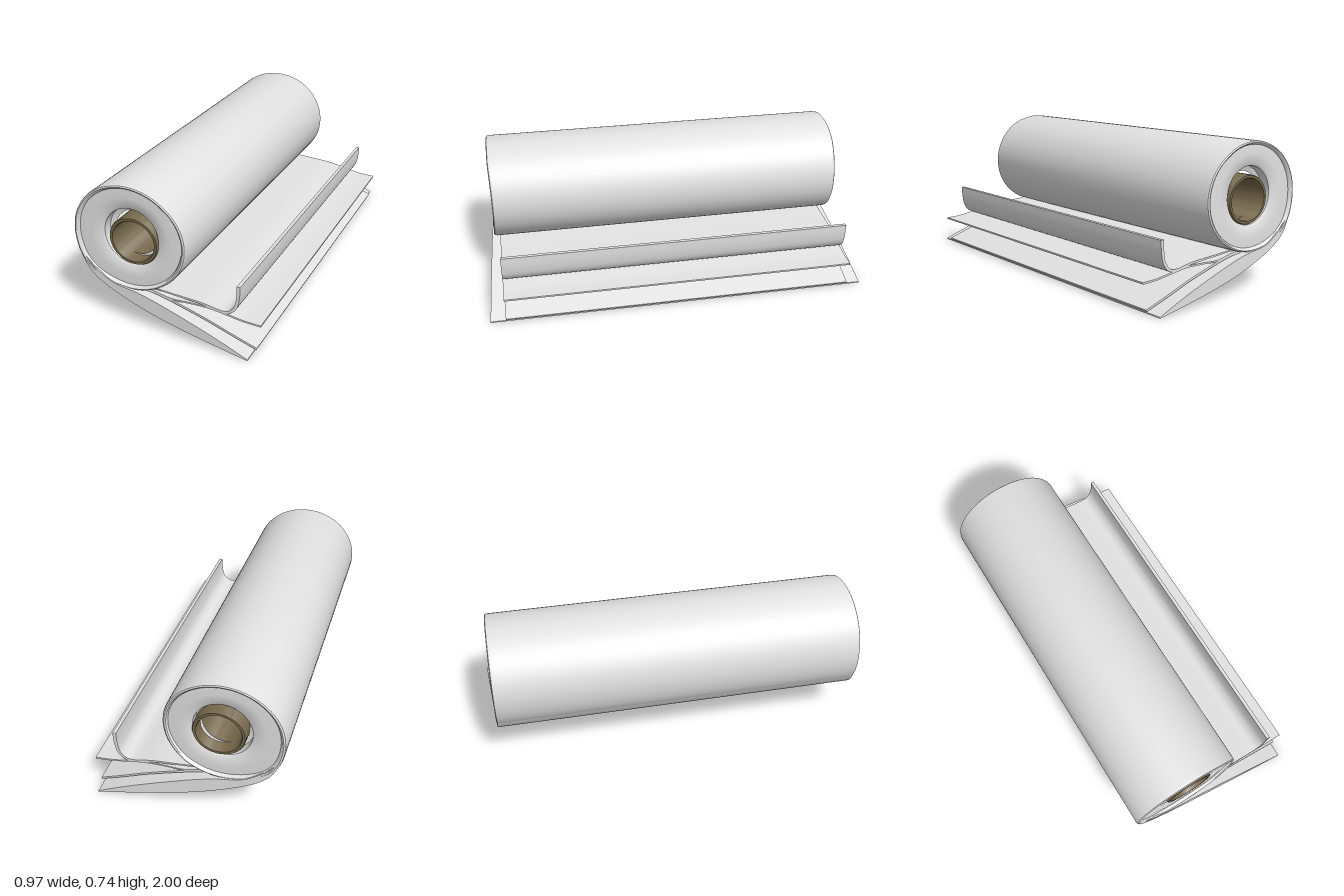
import * as THREE from 'three';
import { toCreasedNormals } from 'three/addons/utils/BufferGeometryUtils.js';

const v2 = (p) => new THREE.Vector2(p[0], p[1]);
const smooth = (pts, n) => new THREE.SplineCurve(pts.map(v2)).getPoints(n);

// Revolve a (radius, z) profile about the z axis
function revolve(profile, segments) {
  return new THREE.LatheGeometry(profile.map(v2), segments).rotateX(Math.PI / 2);
}

// Move every vertex by a rule
function reshape(geometry, rule) {
  const pos = geometry.attributes.position;
  const p = new THREE.Vector3();
  for (let i = 0; i < pos.count; i++) {
    rule(p.fromBufferAttribute(pos, i));
    pos.setXYZ(i, p.x, p.y, p.z);
  }
  return toCreasedNormals(geometry, 0.6);
}

// Extrude a closed outline along z, centred on z = 0
function extrudeZ(outline, depth) {
  const g = new THREE.ExtrudeGeometry(new THREE.Shape(outline), { depth, bevelEnabled: false });
  return g.translate(0, 0, -depth / 2);
}

// Thin sheet following a curve, thickness growing from start to end
function sheet(points, thin, thick, depth) {
  const line = smooth(points, 36);
  const top = [], bottom = [];
  line.forEach((p, i) => {
    const a = line[Math.max(i - 1, 0)], b = line[Math.min(i + 1, line.length - 1)];
    const d = b.clone().sub(a).normalize();
    const h = (thin + (thick - thin) * i / (line.length - 1)) / 2;
    top.push(new THREE.Vector2(p.x - d.y * h, p.y + d.x * h));
    bottom.push(new THREE.Vector2(p.x + d.y * h, p.y - d.x * h));
  });
  return toCreasedNormals(extrudeZ([...bottom, ...top.reverse()], depth), 0.6);
}

export function createModel() {
  const group = new THREE.Group();
  const film = new THREE.MeshStandardMaterial({ color: 0xe2e2e2 });
  film.name = 'pale grey film';
  const card = new THREE.MeshStandardMaterial({ color: 0x75674a });
  card.name = 'brown cardboard';
  const add = (name, geometry, material) => {
    const mesh = new THREE.Mesh(geometry, material);
    mesh.name = name;
    group.add(mesh);
  };

  // Roll: raised rounded rims, shallow end faces and a well around the core
  const end = [[0.285, 0.935], [0.282, 0.946], [0.275, 0.95], [0.268, 0.946], [0.262, 0.934],
    [0.21, 0.936], [0.155, 0.932], [0.145, 0.925], [0.142, 0.88], [0.115, 0.87]];
  const profile = [...end.slice().reverse().map(([r, z]) => [r, -z]), ...end];
  add('roll', reshape(revolve(profile, 80), (p) => {
    const r = Math.hypot(p.x, p.y);
    const t = THREE.MathUtils.clamp((r - 0.145) / 0.14, 0, 1);
    const a = Math.atan2(p.y, p.x);
    // slight sag towards the lower left, where the film peels away
    const sag = 0.014 * t * Math.exp(-(((a + 2.45) / 0.4) ** 2));
    p.x = -0.178 - 0.008 * t + p.x * (1 + 0.042 * t) + Math.cos(a) * sag;
    p.y = 0.478 - 0.005 * t + p.y * (1 - 0.044 * t) + Math.sin(a) * sag;
    if (p.x > 0) p.z *= 1 - 0.08 * p.x;
  }), film);

  // Cardboard core tube, closed in the middle of its bore
  const tube = [[0.126, -0.938], [0.13, -0.932], [0.13, 0.932], [0.126, 0.938], [0.113, 0.938],
    [0.109, 0.932], [0.104, 0.02], [0, 0.02], [0, -0.02], [0.104, -0.02],
    [0.109, -0.932], [0.113, -0.938], [0.126, -0.938]];
  add('core', reshape(revolve(tube, 56), (p) => {
    p.x -= 0.163;
    p.y = 0.46 + p.y * 0.94;
  }), card);

  // Lower fold: a closed lens flaring sideways towards its tip
  const lower = smooth([[-0.468, 0.37], [-0.41, 0.262], [-0.3, 0.187], [-0.1, 0.113],
    [0.1, 0.064], [0.3, 0.027], [0.449, 0.003]], 40);
  const upper = smooth([[0.449, 0.009], [0.33, 0.056], [0.2, 0.102], [0, 0.165], [-0.14, 0.2],
    [-0.28, 0.222], [-0.39, 0.285]], 40);
  add('lowerFold', reshape(extrudeZ([...lower, ...upper], 2), (p) => {
    const t = THREE.MathUtils.clamp((p.x + 0.45) / 0.9, 0, 1);
    p.z *= 0.945 + 0.053 * t;
  }), film);

  // Loose film ends, from lowest to the curled one on top
  add('lowerSheet', sheet([[-0.18, 0.207], [-0.08, 0.197], [0.02, 0.172], [0.2, 0.116],
    [0.34, 0.064], [0.462, 0.021]], 0.012, 0.01, 1.84), film);
  add('middleSheet', sheet([[-0.17, 0.212], [-0.08, 0.202], [0.02, 0.182], [0.12, 0.184],
    [0.22, 0.183], [0.31, 0.17], [0.4, 0.156], [0.482, 0.151]], 0.007, 0.009, 1.84), film);
  add('curledSheet', sheet([[-0.17, 0.225], [-0.06, 0.218], [0.06, 0.208], [0.18, 0.198],
    [0.28, 0.18], [0.325, 0.188], [0.355, 0.222], [0.367, 0.275], [0.37, 0.334]],
  0.006, 0.018, 1.84), film);

  return group;
}
